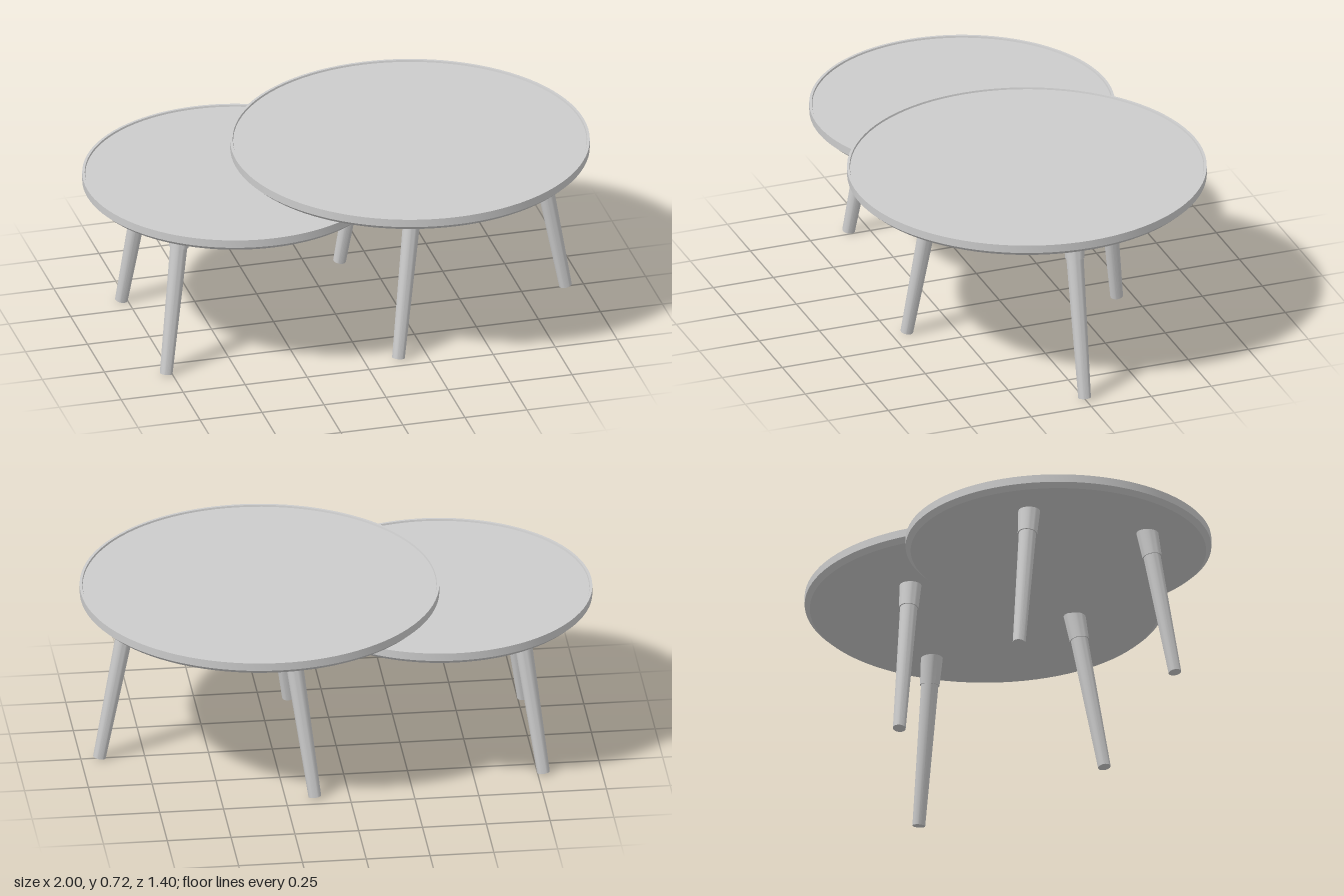
import * as THREE from 'three';
import { toCreasedNormals } from 'three/addons/utils/BufferGeometryUtils.js';

const grey = new THREE.MeshStandardMaterial({ color: 0xcccccc });

// Solid of revolution with crisp edges, profile listed from bottom to top
function turned(name, points, segments) {
  const profile = points.map(([r, y]) => new THREE.Vector2(r, y));
  const geometry = toCreasedNormals(new THREE.LatheGeometry(profile, segments), 0.4);
  const mesh = new THREE.Mesh(geometry, grey);
  mesh.name = name;
  return mesh;
}

// Round tray top: bevelled underside, upright edge, thin raised lip
function tableTop(name, x, radius, y) {
  const top = turned(name, [
    [0, 0], [radius - 0.02, 0], [radius, 0.018], [radius, 0.05],
    [radius - 0.01, 0.05], [radius - 0.012, 0.043], [0, 0.043],
  ], 96);
  top.position.set(x, y, 0);
  return top;
}

// Splayed tapered leg with a wider sleeve under the table top
function leg(name, head, foot) {
  const group = new THREE.Group();
  group.name = name;
  const a = new THREE.Vector3(...foot);
  const axis = new THREE.Vector3(...head).sub(a);
  const length = axis.length();
  const joint = length - 0.108;
  group.add(turned('legShaft', [
    [0, 0], [0.025, 0], [0.034, joint + 0.01], [0, joint + 0.01],
  ], 32));
  group.add(turned('legSleeve', [
    [0, joint], [0.038, joint], [0.043, length + 0.012], [0, length + 0.012],
  ], 32));
  group.position.copy(a);
  group.quaternion.setFromUnitVectors(new THREE.Vector3(0, 1, 0), axis.normalize());
  return group;
}

export function createModel() {
  const model = new THREE.Group();
  model.name = 'nestedCoffeeTable';

  // Large upper table with three legs
  const large = new THREE.Group();
  large.name = 'largeTable';
  large.add(tableTop('largeTop', 0.3, 0.7, 0.67));
  large.add(leg('sideLeg', [0.803, 0.67, 0], [0.927, 0.005, 0]));

  // Small lower table, tucked under the large one, with two legs
  const small = new THREE.Group();
  small.name = 'smallTable';
  small.add(tableTop('smallTop', -0.405, 0.595, 0.62));

  // Mirrored front and back legs
  for (const [s, side] of [[1, 'front'], [-1, 'back']]) {
    large.add(leg(side + 'LargeLeg', [0.223, 0.67, 0.35 * s], [0.135, 0.004, 0.437 * s]));
    small.add(leg(side + 'SmallLeg', [-0.69, 0.62, 0.252 * s], [-0.773, 0.004, 0.332 * s]));
  }

  model.add(large, small);
  return model;
}
